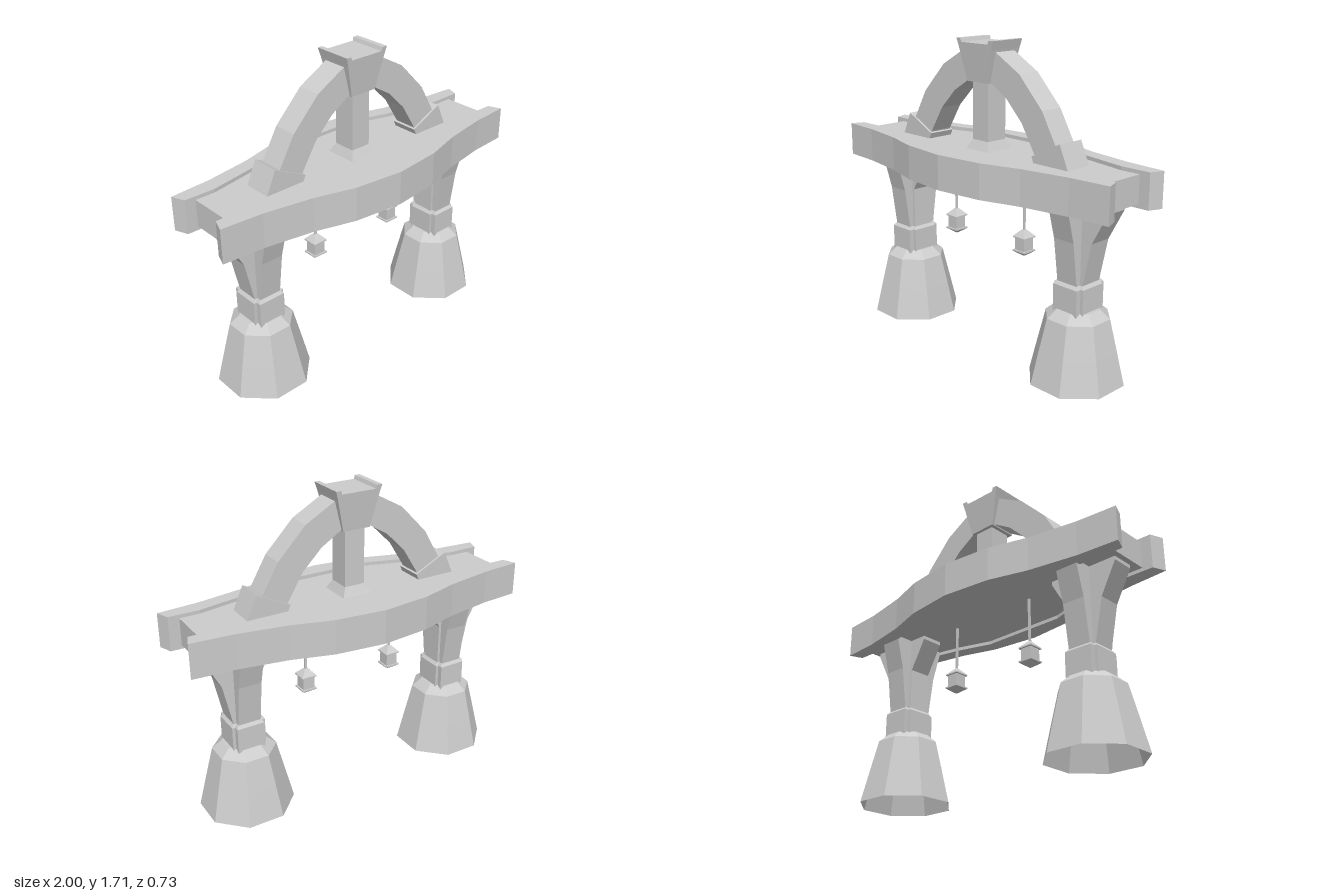
import * as THREE from 'three';

const stone = new THREE.MeshStandardMaterial({ color: 0xcccccc, side: THREE.DoubleSide });
stone.name = 'pale grey stone';

function part(name, geometry, parent) {
  const mesh = new THREE.Mesh(geometry, stone);
  mesh.name = name;
  parent.add(mesh);
  return mesh;
}

// Faceted turned solid; profile holds [distance from axis to flat side, y]
function turned(profile, sides) {
  const k = 1 / Math.cos(Math.PI / sides);
  const points = profile.map(([r, y]) => new THREE.Vector2(r * k, y));
  const g = new THREE.LatheGeometry(points, sides, Math.PI / sides).toNonIndexed();
  g.computeVertexNormals();
  return g;
}

// Outline in x/y, extruded symmetrically along z
function slab(outline, depth) {
  const shape = new THREE.Shape(outline.map(([x, y]) => new THREE.Vector2(x, y)));
  const g = new THREE.ExtrudeGeometry(shape, { depth, bevelEnabled: false });
  return g.translate(0, 0, -depth / 2);
}

// Outline in x/z, standing between two heights
function plan(outline, y0, y1) {
  const g = slab(outline.map(([x, z]) => [x, -z]), y1 - y0);
  return g.rotateX(-Math.PI / 2).translate(0, (y0 + y1) / 2, 0);
}

// Mirror a half outline (from -x toward the middle) to +x
const mirrored = (half) => [
  ...half,
  ...half.filter(([x]) => x !== 0).map(([x, z]) => [-x, z]).reverse(),
];

function createPillar(side) {
  const pillar = new THREE.Group();
  pillar.name = side > 0 ? 'leftPillar' : 'rightPillar';
  pillar.position.x = 0.66 * side;

  part('pillarBase', turned([[0.24, 0], [0.2, 0.18], [0.16, 0.355], [0.11, 0.4], [0, 0.4]], 8), pillar);

  // Crossed collar with chamfered top
  const collar = [[0, 0.375], [1, 0.375], [1, 0.53], [0.85, 0.547], [0, 0.547]];
  part('collarAcross', turned(collar, 4), pillar).scale.set(0.095, 1, 0.075);
  part('collarAlong', turned(collar, 4), pillar).scale.set(0.078, 1, 0.105);

  // Four flaring arms: outer, front, inner, back
  const reach = [
    [0.08, 0.13, 0.222],
    [0.09, 0.122, 0.168],
    [0.08, 0.078, 0.175],
    [0.09, 0.122, 0.168],
  ];
  reach.forEach(([low, mid, top], i) => {
    const outline = [[0, 0.5], [low, 0.5], [low, 0.545], [mid, 0.78], [top, 0.95], [top, 0.972], [0, 0.972]];
    const arm = part('pillarArm', slab(outline, 0.128), pillar);
    arm.rotation.y = -i * Math.PI / 2 + (side < 0 ? Math.PI : 0);
  });
  return pillar;
}

function createLantern(x) {
  const lantern = new THREE.Group();
  lantern.name = 'hangingLantern';
  lantern.position.x = x;
  part('lanternRod', new THREE.BoxGeometry(0.011, 0.27, 0.011).translate(0, 0.845, 0), lantern);
  part('lanternRoof', turned([[0, 0.675], [0.043, 0.675], [0.043, 0.682], [0.009, 0.718], [0, 0.718]], 4), lantern);
  part('lanternBody', turned([[0.034, 0.605], [0.034, 0.677]], 4), lantern);
  part('lanternFoot', turned([[0, 0.573], [0.008, 0.573], [0.043, 0.598], [0.043, 0.606], [0, 0.606]], 4), lantern);
  return lantern;
}

export function createModel() {
  const model = new THREE.Group();
  model.name = 'archedBridge';

  // Deck floor
  const edge = mirrored([[-0.912, 0.16], [-0.8, 0.16], [-0.48, 0.23], [-0.25, 0.29]]);
  const deck = [...edge, ...edge.map(([x, z]) => [x, -z]).reverse()];
  part('deck', plan(deck, 0.97, 1.12), model);

  // Bowed side rails
  const outer = mirrored([[-1, 0.204], [-0.77, 0.222], [-0.5, 0.27], [-0.28, 0.335], [0, 0.366]]);
  const inner = mirrored([[-0.972, 0.13], [-0.8, 0.128], [-0.46, 0.195], [-0.255, 0.258]]);
  for (const side of [1, -1]) {
    const rail = [...outer, ...inner.slice().reverse()].map(([x, z]) => [x, z * side]);
    part(side > 0 ? 'frontRail' : 'backRail', plan(rail, 0.95, 1.14), model);
  }

  for (const side of [1, -1]) {
    model.add(createPillar(side));
    model.add(createLantern(0.272 * side));

    // Half arch and its sloping foot block
    const arch = [
      [0.6, 1.12], [0.54, 1.235], [0.45, 1.39], [0.29, 1.555], [0.12, 1.65], [0, 1.67],
      [0, 1.51], [0.07, 1.5], [0.2, 1.42], [0.31, 1.31], [0.4, 1.165], [0.42, 1.12],
    ];
    const foot = [[0.64, 1.115], [0.582, 1.245], [0.393, 1.152], [0.41, 1.115]];
    const flip = (points) => points.map(([x, y]) => [x * side, y]);
    part('halfArch', slab(flip(arch), 0.136), model);
    part('archFoot', slab(flip(foot), 0.16), model);
  }

  // Middle post with flared foot
  const post = part('middlePost', turned([[1.45, 1.118], [1.3, 1.135], [1, 1.17], [1, 1.52]], 4), model);
  post.scale.set(0.059, 1, 0.064);

  // Keystone with raised lips, widening upward in depth too
  const keystone = slab([
    [-0.08, 1.485], [0.08, 1.485], [0.122, 1.66], [0.136, 1.71], [0.107, 1.71], [0.1, 1.69],
    [-0.1, 1.69], [-0.107, 1.71], [-0.136, 1.71], [-0.122, 1.66],
  ], 2);
  const p = keystone.attributes.position;
  for (let i = 0; i < p.count; i++) {
    p.setZ(i, p.getZ(i) * (0.083 + (p.getY(i) - 1.485) * 0.115));
  }
  keystone.computeVertexNormals();
  part('keystone', keystone, model);

  return model;
}
